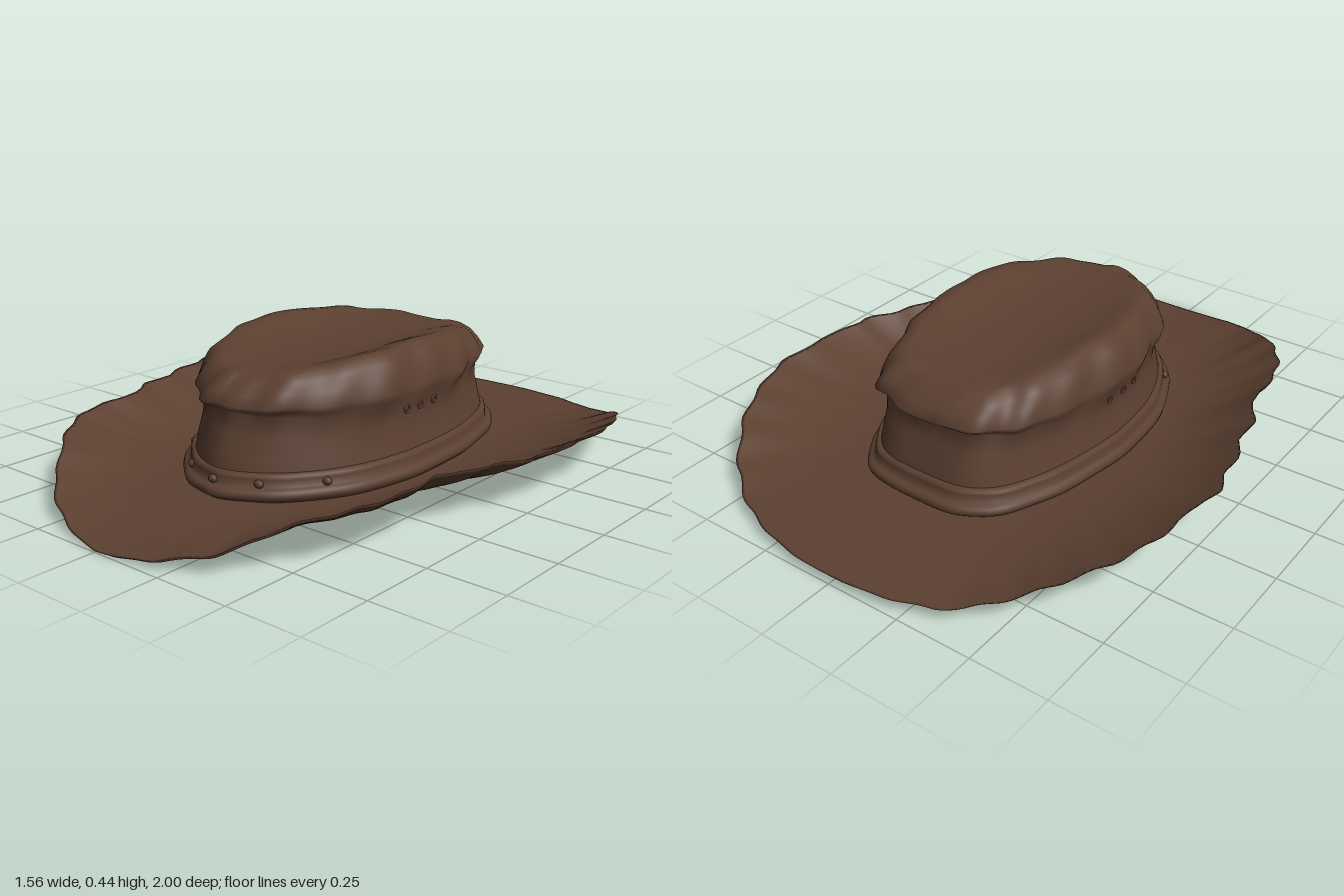
import * as THREE from 'three';

const N = 240; // points around every ring

// piecewise linear lookup in a list of [key, value] pairs
function lookup(table, k) {
  for (let i = 1; i < table.length; i++) {
    if (k <= table[i][0]) {
      const [k0, v0] = table[i - 1], [k1, v1] = table[i];
      return v0 + (v1 - v0) * THREE.MathUtils.clamp((k - k0) / (k1 - k0), 0, 1);
    }
  }
  return table[table.length - 1][1];
}

// egg-shaped head outline, narrower at the front
function headOutline(a, sx = 1, sz = sx) {
  const s = Math.sin(a), c = Math.cos(a);
  const w = Math.sign(s) * Math.pow(Math.abs(s), 0.85 + 0.28 * c);
  return new THREE.Vector3(0.015 + 0.015 * Math.max(c, 0) + 0.375 * w * sx, 0, 0.59 * c * sz - 0.007);
}

// closed rings joined into a smooth skin; ringAt(i, angle) gives each point
function loft(count, ringAt) {
  const pos = [], idx = [];
  for (let i = 0; i < count; i++) {
    for (let j = 0; j < N; j++) pos.push(...ringAt(i, (j / N) * Math.PI * 2).toArray());
  }
  for (let i = 0; i < count - 1; i++) {
    for (let j = 0; j < N; j++) {
      const k = (j + 1) % N, a = i * N + j, b = i * N + k, c = a + N, d = b + N;
      idx.push(a, c, b, b, c, d);
    }
  }
  const g = new THREE.BufferGeometry();
  g.setAttribute('position', new THREE.Float32BufferAttribute(pos, 3));
  g.setIndex(idx);
  g.computeVertexNormals();
  return g;
}

// worn brim edge, [x, z], from the front round past the left side
const brimEdge = [
  [0, 1], [0.2, 0.97], [0.36, 0.9], [0.46, 0.79], [0.57, 0.66], [0.62, 0.55], [0.62, 0.28],
  [0.68, 0.17], [0.7, 0.08], [0.76, 0], [0.75, -0.05], [0.78, -0.18], [0.77, -0.25],
  [0.78, -0.38], [0.75, -0.5], [0.68, -0.66], [0.55, -0.82], [0.4, -0.92], [0.2, -0.985],
  [0, -1], [-0.2, -0.98], [-0.34, -0.94], [-0.5, -0.82], [-0.69, -0.6], [-0.75, -0.42],
  [-0.75, -0.3], [-0.78, -0.19], [-0.74, -0.1], [-0.74, 0], [-0.69, 0.08], [-0.69, 0.19],
  [-0.62, 0.3], [-0.59, 0.55], [-0.52, 0.67], [-0.42, 0.78], [-0.3, 0.9], [-0.15, 0.97],
];
const polar = (x, z) => (Math.atan2(x, z) + Math.PI * 2) % (Math.PI * 2);
const edgeRadius = brimEdge.map(([x, z]) => [polar(x, z), Math.hypot(x, z)]);
edgeRadius.push([Math.PI * 2, 1]);

// height of the brim edge along z: sides curl up, front and back dip
const edgeHeight = [
  [-1, 0.032], [-0.9, 0.045], [-0.8, 0.08], [-0.7, 0.122], [-0.57, 0.15], [-0.4, 0.168], [-0.3, 0.17],
  [0.5, 0.17], [0.6, 0.165], [0.68, 0.155], [0.75, 0.138], [0.85, 0.085], [0.95, 0.037], [1, 0.003],
];

// crown rings from the top centre down: width, length, height at sides, height at ends, crumpling
const crownRings = [
  [0, 0, 0.397, 0.397, 0], [0.25, 0.3, 0.399, 0.398, 0], [0.45, 0.55, 0.408, 0.4, 0.1],
  [0.6, 0.71, 0.428, 0.402, 0.3], [0.71, 0.79, 0.44, 0.398, 0.7], [0.8, 0.82, 0.44, 0.39, 0.8],
  [0.87, 0.86, 0.415, 0.372, 1], [0.92, 0.9, 0.37, 0.35, 1], [0.95, 0.945, 0.325, 0.318, 1],
  [0.94, 0.92, 0.3, 0.305, 1], [0.905, 0.885, 0.265, 0.29, 0.5], [0.89, 0.91, 0.22, 0.23, 0.1],
  [0.91, 0.945, 0.17, 0.17, 0], [0.94, 0.96, 0.12, 0.12, 0], [0.965, 0.975, 0.07, 0.07, 0],
  [0.985, 0.985, 0.045, 0.045, 0],
];

function crownPoint(i, a) {
  const [sx, sz, ySide, yEnd, f] = crownRings[i];
  const dent = 1 + f * (0.014 * Math.sin(9 * a + 1 + i * 0.3) + 0.012 * Math.sin(17 * a + i * 0.7));
  const p = headOutline(a, sx * dent, sz * dent);
  p.y = THREE.MathUtils.lerp(yEnd, ySide, Math.sin(a) ** 2) + f * 0.003 * Math.sin(11 * a + 2);
  return p;
}

// band profile, flat strip over a rounded cord: scale, height
const bandProfile = [
  [0.935, 0.128], [0.965, 0.128], [0.982, 0.122], [0.985, 0.112], [0.988, 0.09],
  [1.01, 0.087], [1.03, 0.08], [1.037, 0.068], [1.03, 0.056], [1.0, 0.045],
];

// brim stations: upper skin outward, then lower skin back in: distance, thickness
const out = [0, 0.12, 0.25, 0.4, 0.55, 0.7, 0.83, 0.93, 0.98];
const brimStations = [
  ...out.map((t) => [t, 0]), [1, 0], ...out.slice().reverse().map((t) => [t, 0.008]),
];

function brimPoint(i, a) {
  const [t, drop] = brimStations[i];
  const p = headOutline(a, 0.98);
  const ang = polar(p.x, p.z);
  const nick = 0.006 * Math.sin(38 * ang) * Math.abs(Math.sin(2 * ang)); // frayed corners
  const r = lookup(edgeRadius, ang) + nick;
  const edge = new THREE.Vector3(Math.sin(ang) * r, 0, Math.cos(ang) * r);
  const rise = lookup(edgeHeight, edge.z);
  p.lerp(edge, t);
  p.y = Math.max(0.046 + (rise - 0.046) * Math.pow(t, 2) - drop, 0);
  return p;
}

export function createModel() {
  const hat = new THREE.Group();
  hat.name = 'hat';
  const leather = new THREE.MeshStandardMaterial({ color: 0x5c4031, side: THREE.DoubleSide });
  leather.name = 'brown leather';
  const add = (name, geometry) => {
    const m = new THREE.Mesh(geometry, leather);
    m.name = name;
    hat.add(m);
    return m;
  };

  add('brim', loft(brimStations.length, brimPoint));
  add('crown', loft(crownRings.length, crownPoint));
  add('hatBand', loft(bandProfile.length, (i, a) => {
    const [s, y] = bandProfile[i];
    const p = headOutline(a, s + 0.004 * Math.sin(14 * a));
    p.y = y;
    return p;
  }));

  // studs across the front of the band
  const studShape = new THREE.SphereGeometry(0.016, 12, 8);
  for (const a of [-0.85, -0.42, 0, 0.42, 0.85]) {
    const stud = add('bandStud', studShape);
    stud.position.copy(headOutline(a, 0.988)).setY(0.1);
    stud.scale.set(1, 0.8, 0.8);
  }

  // three eyelets on each side of the crown
  const eyelet = new THREE.TorusGeometry(0.011, 0.004, 6, 14);
  for (const side of [-1, 1]) {
    for (const z of [-0.075, 0, 0.065]) {
      const ring = add('ventEyelet', eyelet);
      const p = headOutline(side * Math.acos((z + 0.007) / 0.53), 0.903);
      ring.position.set(p.x, 0.255, z);
      ring.rotation.y = Math.PI / 2;
    }
  }
  return hat;
}
